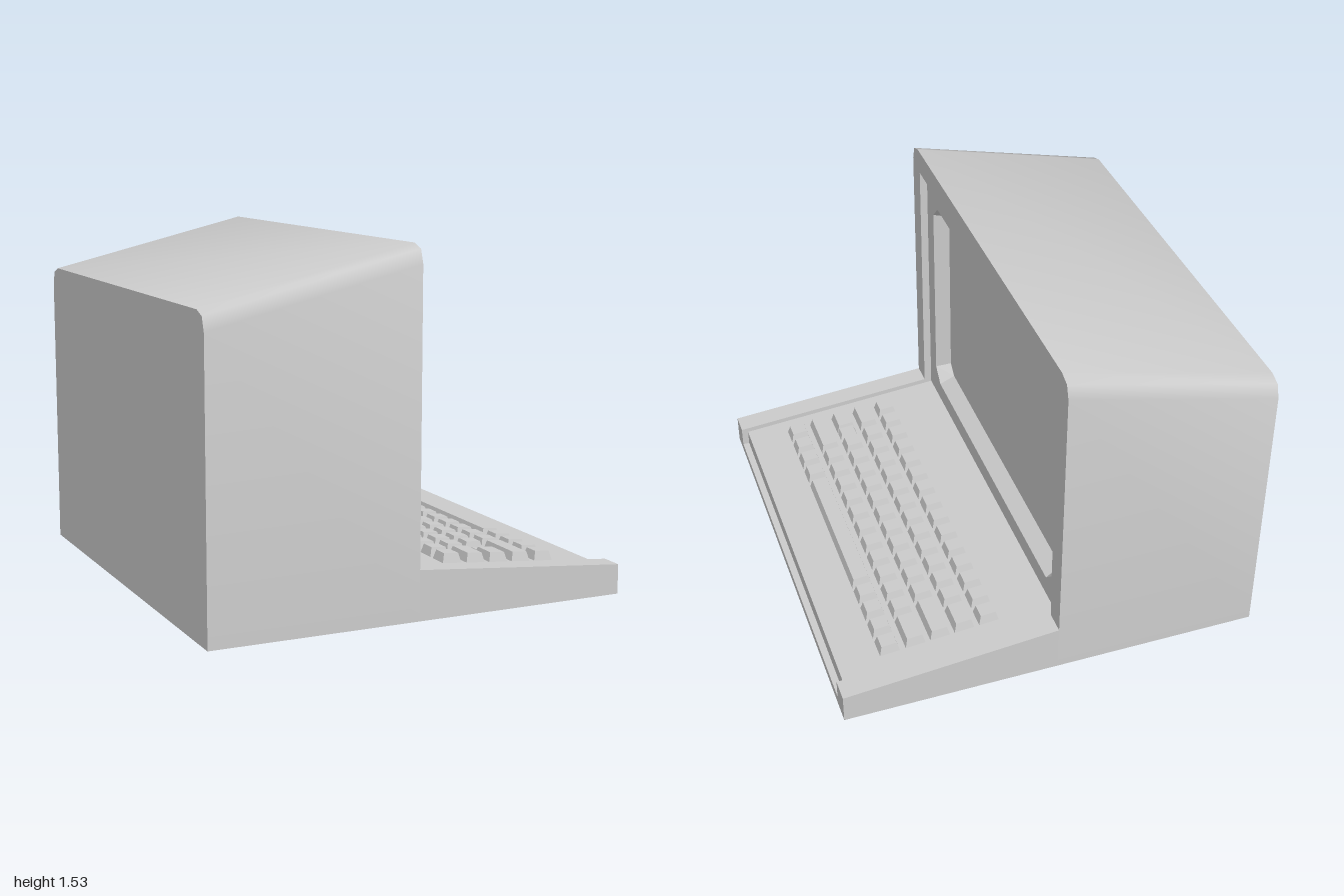
import * as THREE from 'three';
import { toCreasedNormals } from 'three/addons/utils/BufferGeometryUtils.js';

const mat = new THREE.MeshStandardMaterial({ color: 0xcccccc });
const flat = new THREE.MeshStandardMaterial({ color: 0xcccccc, flatShading: true });

// Outlines are [across, up], symmetric, counter-clockwise seen from +x
const mirrorRing = (half) => [...half.map(([u, y]) => [u, y]), ...half.slice().reverse().map(([u, y]) => [-u, y])];
const toShape = (pts) => new THREE.Shape(pts.map((p) => new THREE.Vector2(p[0], p[1])));

// Flat panel across x, optionally with a hole
function panel(outline, hole, x, facing = 1) {
  const shape = toShape(outline);
  if (hole) shape.holes.push(toShape(hole));
  return new THREE.ShapeGeometry(shape).rotateY(facing * Math.PI / 2).translate(x, 0, 0);
}

// Walls between two outlines; back-to-front faces outward, front-to-back faces inward
function loft(ringA, xa, ringB, xb) {
  const pos = [], n = ringA.length;
  const put = (r, i, x) => pos.push(x, r[i][1], -r[i][0]);
  for (let i = 0; i < n; i++) {
    const j = (i + 1) % n;
    put(ringA, i, xa); put(ringA, j, xa); put(ringB, j, xb);
    put(ringA, i, xa); put(ringB, j, xb); put(ringB, i, xb);
  }
  const g = new THREE.BufferGeometry();
  g.setAttribute('position', new THREE.Float32BufferAttribute(pos, 3));
  g.computeVertexNormals();
  return g;
}

// Side profile [x, y] extruded from z0 to z1
const slab = (pts, z0, z1) =>
  new THREE.ExtrudeGeometry(toShape(pts), { depth: z1 - z0, bevelEnabled: false }).translate(0, 0, z0);

const SLOPE = 0.0885;
const railY = (x) => 0.215 - SLOPE * (x + 0.02);
const deckY = (x) => railY(x) - 0.022;

// Tapered key cap sitting on the sloped deck
function keyCap(x0, x1, z0, z1, height = 0.04) {
  const w = x1 - x0, d = z1 - z0, inset = 0.013;
  const g = new THREE.BoxGeometry(w, height + 0.01, d);
  const p = g.attributes.position, cx = (x0 + x1) / 2, cz = (z0 + z1) / 2;
  for (let i = 0; i < p.count; i++) {
    const top = p.getY(i) > 0;
    const x = cx + p.getX(i) * (top ? 1 - 2 * inset / w : 1);
    const z = cz + p.getZ(i) * (top ? 1 - 2 * inset / d : 1);
    p.setXYZ(i, x, deckY(x) + (top ? height : -0.01), z);
  }
  g.computeVertexNormals();
  return g;
}

export function createModel() {
  const model = new THREE.Group();
  const add = (name, geo, parent = model, material = mat) => {
    const m = new THREE.Mesh(geo, material);
    m.name = name;
    parent.add(m);
    return m;
  };

  const BACK = -0.94, FRONT = -0.02, PANEL = -0.055, SCREEN = -0.125;

  // Monitor housing with sloping roof and rounded upper edges
  const housing = new THREE.Group();
  housing.name = 'monitorHousing';
  model.add(housing);
  const outline = (drop) => mirrorRing([[1, 0], [1, 1.45 - drop], [0.98, 1.51 - drop], [0.925, 1.53 - drop]]);
  const frontRing = outline(0), backRing = outline(0.22);
  add('shell', toCreasedNormals(loft(backRing, BACK, frontRing, FRONT), 1.0), housing);
  add('backPanel', panel(backRing, null, BACK, -1), housing);

  // Front rim and the recess behind it
  const rimHole = mirrorRing([[0.9, 0.16], [0.9, 1.42]]);
  const recess = mirrorRing([[0.9, 0.16], [0.9, 1.395]]);
  add('frontRim', panel(frontRing, rimHole, FRONT), housing);
  add('rimRecess', loft(rimHole, FRONT, recess, PANEL), housing, flat);

  // Screen with cut corners and a bevelled surround
  const outer = mirrorRing([[0.745, 0.285], [0.81, 0.35], [0.81, 1.235], [0.745, 1.3]]);
  const inner = mirrorRing([[0.735, 0.325], [0.785, 0.37], [0.785, 1.225], [0.735, 1.267]]);
  add('screenPanel', panel(recess, outer, PANEL), housing);
  add('screenBezel', loft(outer, PANEL, inner, SCREEN), housing, flat);
  add('screen', panel(inner, null, SCREEN), housing);

  // Keyboard base: sunken deck with a front lip, and a rail on each side
  add('keyboardDeck', slab([[PANEL, 0], [0.94, 0], [0.94, 0.04], [0.91, 0.04],
    [0.91, deckY(0.91)], [PANEL, deckY(PANEL)]], -0.9, 0.9));
  const rail = [[FRONT, 0], [0.94, 0], [0.94, 0.13], [FRONT, 0.215]];
  add('leftRail', slab(rail, -1, -0.9));
  add('rightRail', slab(rail, 0.9, 1));
  const floor = new THREE.PlaneGeometry(FRONT - BACK, 2).rotateX(Math.PI / 2);
  add('floor', floor.translate((FRONT + BACK) / 2, 0.0005, 0));

  // Key rows: wide keys as [z0, z1], plus runs of standard keys [first z, count]
  const keys = new THREE.Group();
  keys.name = 'keys';
  model.add(keys);
  const PITCH = 0.11, KEY = 0.094;
  const rows = [
    { x: 0.185, wide: [], runs: [[-0.817, 15]] },
    { x: 0.297, wide: [[-0.817, -0.67], [0.665, 0.82]], runs: [[-0.655, 12]] },
    { x: 0.407, wide: [[-0.817, -0.592]], runs: [[-0.577, 11]] },
    { x: 0.518, wide: [[-0.817, -0.645], [0.578, 0.82]], runs: [[-0.63, 11]] },
    { x: 0.633, wide: [[-0.817 + 4 * PITCH, 0.375]], runs: [[-0.817, 4], [0.392, 4]] },
  ];
  for (const { x, wide, runs } of rows) {
    for (const [z0, z1] of wide) add('wideKey', keyCap(x, x + KEY, z0, z1), keys, flat);
    for (const [z, count] of runs)
      for (let i = 0; i < count; i++)
        add('key', keyCap(x, x + KEY, z + i * PITCH, z + i * PITCH + KEY), keys, flat);
  }
  // Stepped key at the end of the third row
  add('steppedKeyLow', keyCap(0.407, 0.501, 0.636, 0.72, 0.025), keys, flat);
  add('steppedKeyHigh', keyCap(0.407, 0.501, 0.69, 0.82), keys, flat);

  return model;
}
